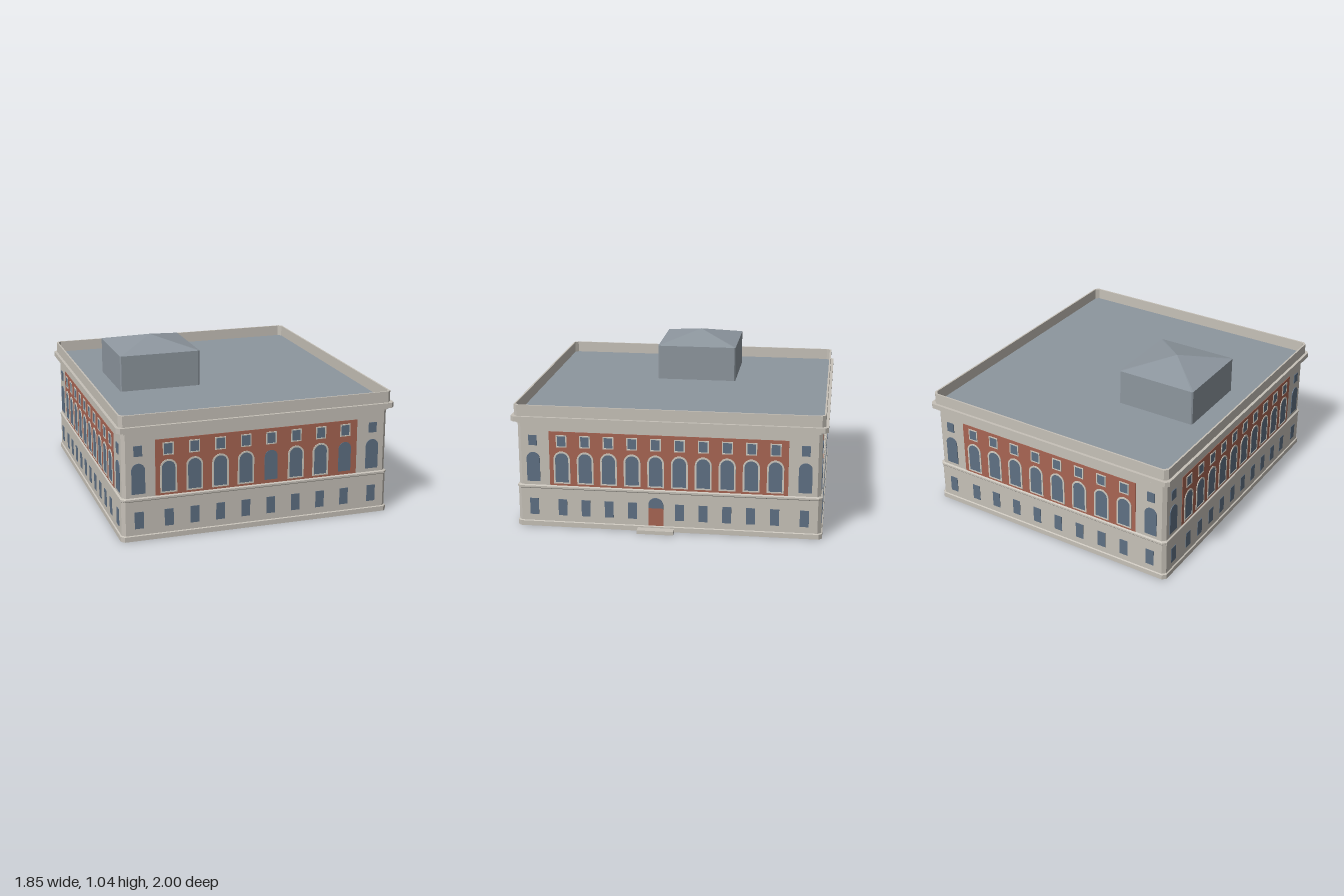
import * as THREE from 'three';

const paint = (name, color, extra = {}) => new THREE.MeshStandardMaterial({ name, color, ...extra });

const CX = -0.0175, HX = 0.873, HZ = 0.965; // wall centre and half sizes

// Chamfered rectangular rings [halfX, halfZ, y, chamfer] joined into a flat-faced shell
function ringShell(rings) {
  const pos = [], idx = [];
  for (const [x, z, y, c] of rings) {
    const pts = [[c - x, z], [x - c, z], [x, z - c], [x, c - z], [x - c, -z], [c - x, -z], [-x, c - z], [-x, z - c]];
    for (const [px, pz] of pts) pos.push(px, y, pz);
  }
  for (let j = 0; j < rings.length - 1; j++) {
    for (let i = 0; i < 8; i++) {
      const a = j * 8 + i, b = j * 8 + (i + 1) % 8;
      idx.push(a, b, b + 8, a, b + 8, a + 8);
    }
  }
  const geo = new THREE.BufferGeometry();
  geo.setAttribute('position', new THREE.Float32BufferAttribute(pos, 3));
  geo.setIndex(idx);
  const flat = geo.toNonIndexed();
  flat.computeVertexNormals();
  return flat;
}

// Window outline centred on x = 0, with a square or round head
function outline(w, y0, y1, arched) {
  const s = new THREE.Shape();
  s.moveTo(-w / 2, y0);
  s.lineTo(w / 2, y0);
  if (arched) {
    s.lineTo(w / 2, y1 - w / 2);
    s.absarc(0, y1 - w / 2, w / 2, 0, Math.PI, false);
  } else {
    s.lineTo(w / 2, y1);
    s.lineTo(-w / 2, y1);
  }
  s.closePath();
  return s;
}

const plate = (shape, depth) => new THREE.ExtrudeGeometry(shape, { depth, bevelEnabled: false, curveSegments: 12 });

function surround(outer, inner) {
  outer.holes.push(inner);
  return plate(outer, 0.007);
}

export function createModel() {
  const model = new THREE.Group();
  model.name = 'building';

  const stone = paint('stone', 0xc6c1b8, { side: THREE.DoubleSide });
  const trim = paint('pale trim', 0xcfcac0);
  const brick = paint('red brick', 0xa86553);
  const glass = paint('blue grey glass', 0x5f7084);
  const slate = paint('grey roof', 0x8d969e, { side: THREE.DoubleSide });

  const add = (parent, name, geo, mat, x = 0, y = 0, z = 0) => {
    const m = new THREE.Mesh(geo, mat);
    m.name = name;
    m.position.set(x, y, z);
    parent.add(m);
    return m;
  };

  // Walls with plinth, string course, cornice and parapet: [offset, y]
  const profile = [
    [0.015, 0], [0.015, 0.032], [0.007, 0.036], [0.007, 0.255], [0.011, 0.26], [0.011, 0.272], [0, 0.278],
    [0, 0.69], [0.012, 0.69], [0.012, 0.705], [0.035, 0.705], [0.035, 0.738], [0.017, 0.738],
    [0.017, 0.81], [0.006, 0.81], [0.006, 0.735],
  ];
  add(model, 'walls', ringShell(profile.map(([o, y]) => [HX + o, HZ + o, y, 0.022])), stone, CX);

  // Flat roof
  const roofGeo = new THREE.PlaneGeometry(2 * HX + 0.012, 2 * HZ + 0.012).rotateX(-Math.PI / 2);
  add(model, 'flatRoof', roofGeo, slate, CX, 0.735, 0);

  // Rooftop pavilion with a pyramid roof
  const P = 0.272;
  add(model, 'roofPavilion',
    ringShell([[P, P, 0.735, 0.008], [P, P, 0.972, 0.008], [0, 0, 1.045, 0]]), slate, -0.438, 0, -0.056);

  // Shared window pieces
  const lowGlass = plate(outline(0.057, 0.078, 0.187), 0.003);
  const archGlass = plate(outline(0.085, 0.302, 0.497, true), 0.005);
  const topGlass = plate(outline(0.054, 0.543, 0.61), 0.005);
  const archFrame = surround(outline(0.107, 0.293, 0.508, true), outline(0.085, 0.302, 0.497, true));
  const topFrame = surround(outline(0.069, 0.536, 0.617), outline(0.054, 0.543, 0.61));

  // One facade, drawn facing +z and turned into place
  function facade(name, angle, dist, { bays, pitch, corner, panel, bare = [], door = -1 }) {
    const g = new THREE.Group();
    g.name = name;
    g.rotation.y = angle;
    g.position.set(CX + Math.sin(angle) * dist, 0, Math.cos(angle) * dist);
    model.add(g);

    add(g, 'brickPanel', new THREE.BoxGeometry(panel * 2, 0.36, 0.006), brick, 0, 0.459, 0);

    const columns = [-corner];
    for (let i = 0; i < bays; i++) columns.push((i - (bays - 1) / 2) * pitch);
    columns.push(corner);

    columns.forEach((x, i) => {
      const inPanel = i > 0 && i <= bays;
      add(g, 'archedWindow', archGlass, glass, x);
      add(g, 'upperWindow', topGlass, glass, x);
      if (inPanel) {
        add(g, 'upperWindowFrame', topFrame, trim, x);
        if (!bare.includes(i)) add(g, 'archedWindowFrame', archFrame, trim, x);
      }
      if (i === door) {
        add(g, 'door', plate(outline(0.096, 0.038, 0.156), 0.004), brick, x, 0, 0.007);
        add(g, 'doorFanlight', plate(outline(0.096, 0.156, 0.225, true), 0.004), glass, x, 0, 0.007);
      } else {
        add(g, 'groundWindow', lowGlass, glass, x, 0, 0.007);
      }
    });
  }

  const short = { bays: 8, pitch: 0.1665, corner: 0.773, panel: 0.665 };
  const long = { bays: 10, pitch: 0.151, corner: 0.866, panel: 0.76 };
  facade('frontFacade', 0, HZ, { ...short, bare: [5, 8] });
  facade('backFacade', Math.PI, HZ, short);
  facade('leftFacade', Math.PI / 2, HX, { ...long, door: 5 });
  facade('rightFacade', -Math.PI / 2, HX, long);

  // Doorstep
  add(model, 'doorstep', new THREE.BoxGeometry(0.06, 0.024, 0.234), stone, 0.895, 0.012, 0.074);

  return model;
}
